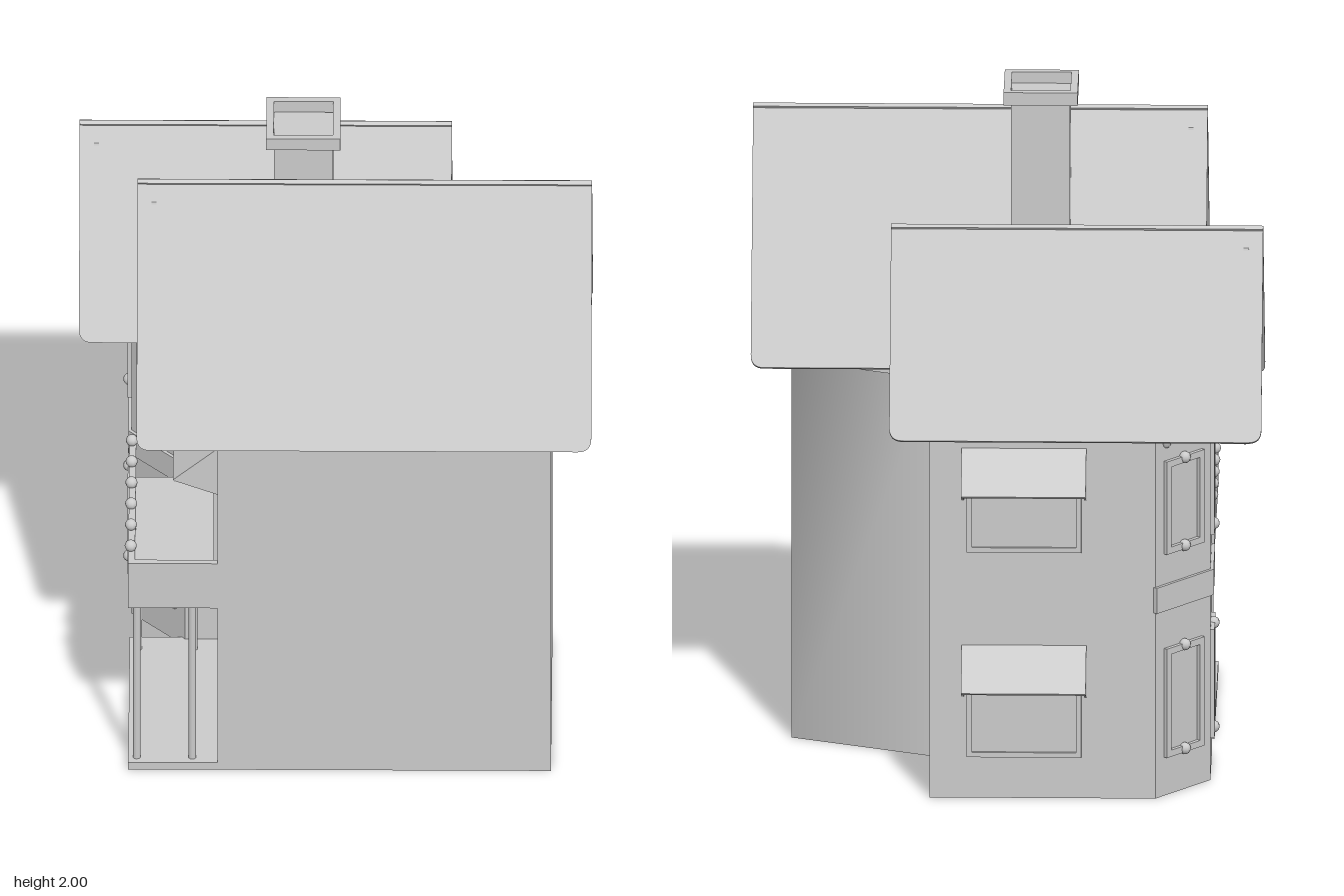
import * as THREE from 'three';

const grey = new THREE.MeshStandardMaterial({ color: 0xcccccc });
const sheet = new THREE.MeshStandardMaterial({ color: 0xcccccc, side: THREE.DoubleSide });

function add(parent, name, geo, x = 0, y = 0, z = 0, mat = grey) {
  const m = new THREE.Mesh(geo, mat);
  m.name = name;
  m.position.set(x, y, z);
  parent.add(m);
  return m;
}

// Box given by its min and max corners
function box(parent, name, a, b) {
  return add(parent, name, new THREE.BoxGeometry(b[0] - a[0], b[1] - a[1], b[2] - a[2]),
    (a[0] + b[0]) / 2, (a[1] + b[1]) / 2, (a[2] + b[2]) / 2);
}

const knob = (parent, x, y, z) => add(parent, 'knob', new THREE.SphereGeometry(0.018, 10, 8), x, y, z);

const extrude = (shape, depth) =>
  new THREE.ExtrudeGeometry(shape, { depth, bevelEnabled: false, curveSegments: 8 });

const poly = (pts) => new THREE.Shape(pts.map(([x, y]) => new THREE.Vector2(x, y)));

// Rectangular frame with an opening, in the xy plane
function frame(w, h, border) {
  const rect = (a, b) => [[-a, -b], [a, -b], [a, b], [-a, b]];
  const s = poly(rect(w / 2, h / 2));
  s.holes.push(poly(rect(w / 2 - border, h / 2 - border)));
  return s;
}

// Upright open wall along floor points [x, z]; normals are smooth within a strip
function wall(parent, pts, height) {
  const pos = [], idx = [];
  pts.forEach(([x, z], i) => {
    pos.push(x, 0, z, x, height, z);
    if (i) {
      const k = 2 * i;
      idx.push(k - 2, k, k + 1, k - 2, k + 1, k - 1);
    }
  });
  const g = new THREE.BufferGeometry();
  g.setAttribute('position', new THREE.Float32BufferAttribute(pos, 3));
  g.setIndex(idx);
  g.computeVertexNormals();
  add(parent, 'wall', g, 0, 0, 0, sheet);
}

// Rake board with oval piercings and hanging knobs, running down from the ridge
function bargeboard(parent, x, length) {
  const n = Math.round(length / 0.13), step = (length - 0.06) / n;
  const s = new THREE.Shape();
  s.moveTo(0, -0.03);
  s.lineTo(0, -length + 0.03);
  s.lineTo(-0.05, -length + 0.03);
  for (let i = n; i > 0; i--) {
    const v = -0.03 - step * i;
    s.quadraticCurveTo(-0.13, v + step / 2, -0.05, v + step);
  }
  for (let i = 0; i < n; i++) {
    const hole = new THREE.Path();
    hole.absellipse(-0.045, -0.03 - step * (i + 0.5), 0.022, 0.035, 0, Math.PI * 2, true);
    s.holes.push(hole);
    knob(parent, x, -0.03 - step * (i + 1), -0.07);
  }
  // local shape x points out of the roof, so turn it onto local z
  const b = add(parent, 'bargeboard', extrude(s, 0.015), x + 0.0075, 0, -0.012);
  b.rotation.y = -Math.PI / 2;
}

// Steep gable roof: two thin slopes, attic and trimmed left-hand end
function roof(parent, x0, x1, ridgeY, ridgeZ, run, drop, attic) {
  const g = new THREE.Group();
  g.name = 'roof';
  parent.add(g);
  const w = (x1 - x0) / 2, L = Math.hypot(run, drop), r = 0.04, t = 0.014;
  const s = new THREE.Shape();
  s.moveTo(-w, 0);
  s.lineTo(-w, r - L);
  s.quadraticCurveTo(-w, -L, r - w, -L);
  s.lineTo(w - r, -L);
  s.quadraticCurveTo(w, -L, w, r - L);
  s.lineTo(w, 0);
  for (const side of [1, -1]) {
    const turn = new THREE.Group();
    turn.name = side > 0 ? 'frontSlope' : 'backSlope';
    turn.position.set((x0 + x1) / 2, ridgeY, ridgeZ);
    turn.rotation.y = side > 0 ? 0 : Math.PI;
    const slope = new THREE.Group();
    slope.name = 'slope';
    slope.rotation.x = -Math.atan2(run, drop);
    turn.add(slope);
    g.add(turn);
    add(slope, 'roofPanel', extrude(s, t), 0, 0, -t);
    bargeboard(slope, side * (0.05 - w), L);
  }
  // Attic prism closing both gables
  const [a0, a1, base] = attic;
  const top = ridgeY - 0.02, half = (top - base) * run / drop;
  const prism = add(g, 'attic', extrude(poly([[-half, base], [half, base], [0, top]]), a1 - a0), a0, 0, ridgeZ);
  prism.rotation.y = Math.PI / 2;
}

// Sloping hood with side gussets over a framed window; local +z points away from the wall
function hoodedWindow(parent, x, y, z, turn, sill) {
  const g = new THREE.Group();
  g.name = 'hoodedWindow';
  g.position.set(x, y, z);
  g.rotation.y = turn;
  parent.add(g);
  const w = 0.37, out = 0.13, fall = 0.11;
  const hood = add(g, 'hood', new THREE.BoxGeometry(w, 0.008, Math.hypot(out, fall)), 0, -fall / 2, out / 2);
  hood.rotation.x = Math.atan2(fall, out);
  for (const sx of [-w / 2, w / 2 - 0.006]) {
    const gusset = add(g, 'hoodSide', extrude(poly([[0, 0], [0, -0.16], [-out, -fall]]), 0.006), sx, 0, 0);
    gusset.rotation.y = Math.PI / 2;
  }
  const h = sill - 0.06;
  add(g, 'windowFrame', extrude(frame(0.34, h, 0.015), 0.012), 0, -0.06 - h / 2, 0);
  add(g, 'windowPane', new THREE.BoxGeometry(0.31, h - 0.03, 0.008), 0, -0.06 - h / 2, 0);
}

// One face of the bay: framed panels on two floors, belt and frieze
function bayFace(parent, [ax, az], [bx, bz]) {
  const g = new THREE.Group();
  g.name = 'bayFace';
  g.position.set((ax + bx) / 2, 0, (az + bz) / 2);
  g.rotation.y = Math.atan2(az - bz, bx - ax);
  parent.add(g);
  const w = Math.hypot(bx - ax, bz - az);
  for (const [lo, hi] of [[0.12, 0.46], [0.755, 1.045]]) {
    add(g, 'panelFrame', extrude(frame(0.165, hi - lo, 0.02), 0.024), 0, (lo + hi) / 2, -0.012);
    for (const y of [lo + 0.01, hi - 0.005]) knob(g, 0, y, 0.008);
  }
  add(g, 'bayBelt', new THREE.BoxGeometry(w + 0.008, 0.08, 0.02), 0, 0.62, 0);
  for (const x of [-0.07, 0, 0.07])
    add(g, 'friezeOval', new THREE.SphereGeometry(1, 10, 8), x, 1.115, 0).scale.set(0.02, 0.032, 0.012);
}

export function createModel() {
  const house = new THREE.Group();
  house.name = 'house';

  // Walls, open underneath; the bent right-hand wall is shaded smoothly
  const bay = [[-0.45, -0.58], [-0.61, -0.4], [-0.61, -0.17], [-0.45, 0]];
  wall(house, [[0.64, 0.65], [0.64, -0.02], [0.22, -0.19]], 1.18);
  const rest = [[0.22, -0.19], [0.22, -0.58], ...bay, [-0.35, 0], [-0.35, 0.65], [0.64, 0.65]];
  for (let i = 1; i < rest.length; i++) wall(house, [rest[i - 1], rest[i]], 1.18);
  box(house, 'wallHead', [-0.35, 1.18, 0], [0.64, 1.24, 0.65]);

  // Roofs
  roof(house, -0.59, 0.76, 1.88, 0.295, 0.42, 0.69, [-0.42, 0.59, 1.24]);
  roof(house, -0.765, 0.34, 1.695, -0.285, 0.345, 0.565, [-0.63, 0.2, 1.18]);

  // Chimney with a hollow cap
  box(house, 'chimneyShaft', [-0.185, 1.25, 0.065], [-0.01, 1.965, 0.24]);
  const cap = add(house, 'chimneyCap', extrude(frame(0.22, 0.22, 0.022), 0.04), -0.098, 1.96, 0.148);
  cap.rotation.x = -Math.PI / 2;

  // Bay, back windows and balcony window
  for (let i = 0; i < 3; i++) bayFace(house, bay[i], bay[i + 1]);
  hoodedWindow(house, -0.06, 1.09, -0.58, Math.PI, 0.32);
  hoodedWindow(house, -0.06, 0.475, -0.58, Math.PI, 0.345);
  hoodedWindow(house, -0.35, 1.09, 0.38, -Math.PI / 2, 0.47);

  // Porch with posts carrying the balcony
  box(house, 'porchFloor', [-0.615, 0, -0.01], [-0.35, 0.025, 0.65]);
  box(house, 'balconyFloor', [-0.615, 0.58, -0.01], [-0.35, 0.6, 0.65]);
  box(house, 'balconySideRail', [-0.615, 0.58, -0.01], [-0.595, 0.74, 0.65]);
  box(house, 'balconyFrontRail', [-0.615, 0.58, 0.63], [-0.35, 0.74, 0.65]);
  for (const x of [-0.59, -0.425])
    for (const z of [0.05, 0.62])
      add(house, 'post', new THREE.CylinderGeometry(0.012, 0.012, 0.56, 10), x, 0.3, z);
  for (let i = 0; i < 6; i++) knob(house, -0.608, 0.753, 0.02 + 0.111 * i);

  return house;
}
